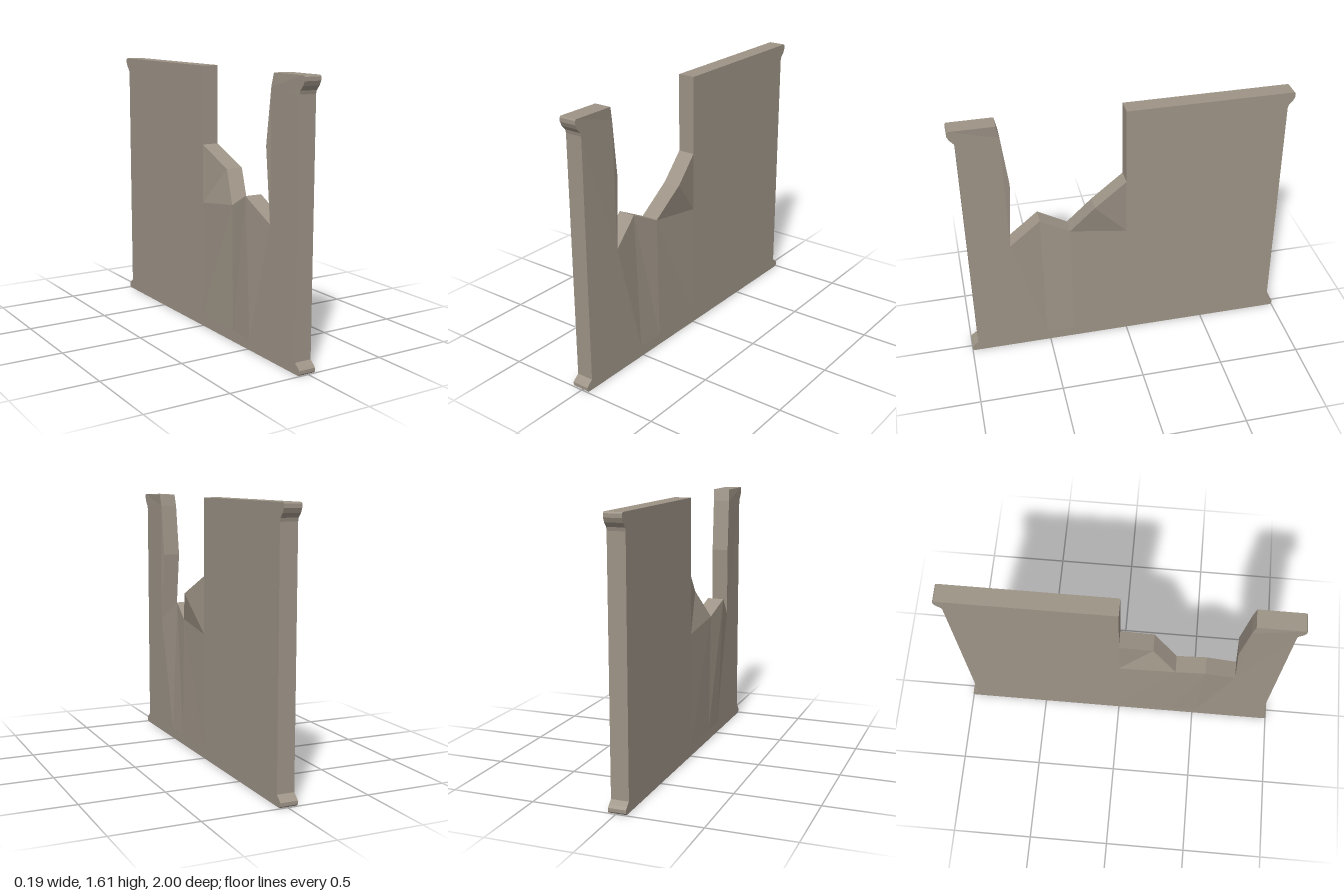
import * as THREE from 'three';

const X0 = -0.06, X1 = 0.045; // the two faces of the slab

// Bent points of the broken edge as [z, y, sideways offset]
const A = [0.73, 1.605, 0], B = [0.715, 1.53, -0.005], C = [0.68, 1.21, -0.01],
  D = [0.71, 0.78, 0], E = [0.52, 0.91, -0.035], F = [0.345, 0.825, -0.01],
  G = [0.2, 1.01, 0.045], H = [0, 1.135, 0], I = [0, 0.78, 0], J = [0, 1.605, 0];

// Points along the top of the foot moulding
const Y = 0.065;
const foot = [0.96, 0.71, 0.52, 0.345, 0, -0.96].map((z) => [z, Y, 0]);

// End mouldings, s = +1 front end, -1 back end
const footEnd = (s) => [[0.985, 0.045], [1, 0.03], [1, 0.01], [0.99, 0]].map(([z, y]) => [z * s, y, 0]);
const capEnd = (s) => [[0.96, 1.505], [0.965, 1.525], [0.988, 1.55], [1, 1.575], [1, 1.597], [0.994, 1.605]]
  .map(([z, y]) => [z * s, y, 0]);

// Builds one solid from flat regions; edges used by only one region get a wall
function slabGeometry(regions) {
  const pos = [], edges = new Map();
  const put = (p, x) => pos.push(x + p[2], p[1], p[0]);
  const key = (p) => p[0] + ',' + p[1];
  for (const region of regions) {
    const contour = region.map((p) => new THREE.Vector2(p[0], p[1]));
    const pts = region.slice();
    if (THREE.ShapeUtils.area(contour) < 0) { pts.reverse(); contour.reverse(); }
    for (const tri of THREE.ShapeUtils.triangulateShape(contour, [])) {
      if (THREE.ShapeUtils.area(tri.map((i) => contour[i])) < 0) tri.reverse();
      const [a, b, c] = tri.map((i) => pts[i]);
      [a, b, c].forEach((p) => put(p, X0));
      [c, b, a].forEach((p) => put(p, X1));
    }
    pts.forEach((a, i) => {
      const b = pts[(i + 1) % pts.length];
      edges.set(key(a) + '|' + key(b), [a, b]);
    });
  }
  for (const [a, b] of edges.values()) {
    if (edges.has(key(b) + '|' + key(a))) continue;
    put(b, X0); put(a, X0); put(a, X1);
    put(b, X0); put(a, X1); put(b, X1);
  }
  const geo = new THREE.BufferGeometry();
  geo.setAttribute('position', new THREE.Float32BufferAttribute(pos, 3));
  geo.computeVertexNormals();
  return geo;
}

export function createModel() {
  const stone = new THREE.MeshStandardMaterial({ color: 0x9d9386 });
  stone.name = 'warm grey stone';

  const regions = [
    // foot moulding
    [...foot, ...footEnd(-1), ...footEnd(1).reverse()],
    // front pillar beside the gap
    [foot[0], foot[1], D, C, B, A, ...capEnd(1).reverse()],
    // bent strips below the gap
    [foot[1], foot[2], E, D],
    [foot[2], foot[3], F, E],
    [foot[3], foot[4], I, F],
    // bulging flap
    [F, I, G],
    [I, H, G],
    // intact back half
    [foot[4], I, H, J, ...capEnd(-1).reverse(), foot[5]],
  ];

  const wall = new THREE.Mesh(slabGeometry(regions), stone);
  wall.name = 'brokenWall';
  const group = new THREE.Group();
  group.name = 'brokenWallPanel';
  group.add(wall);
  return group;
}
